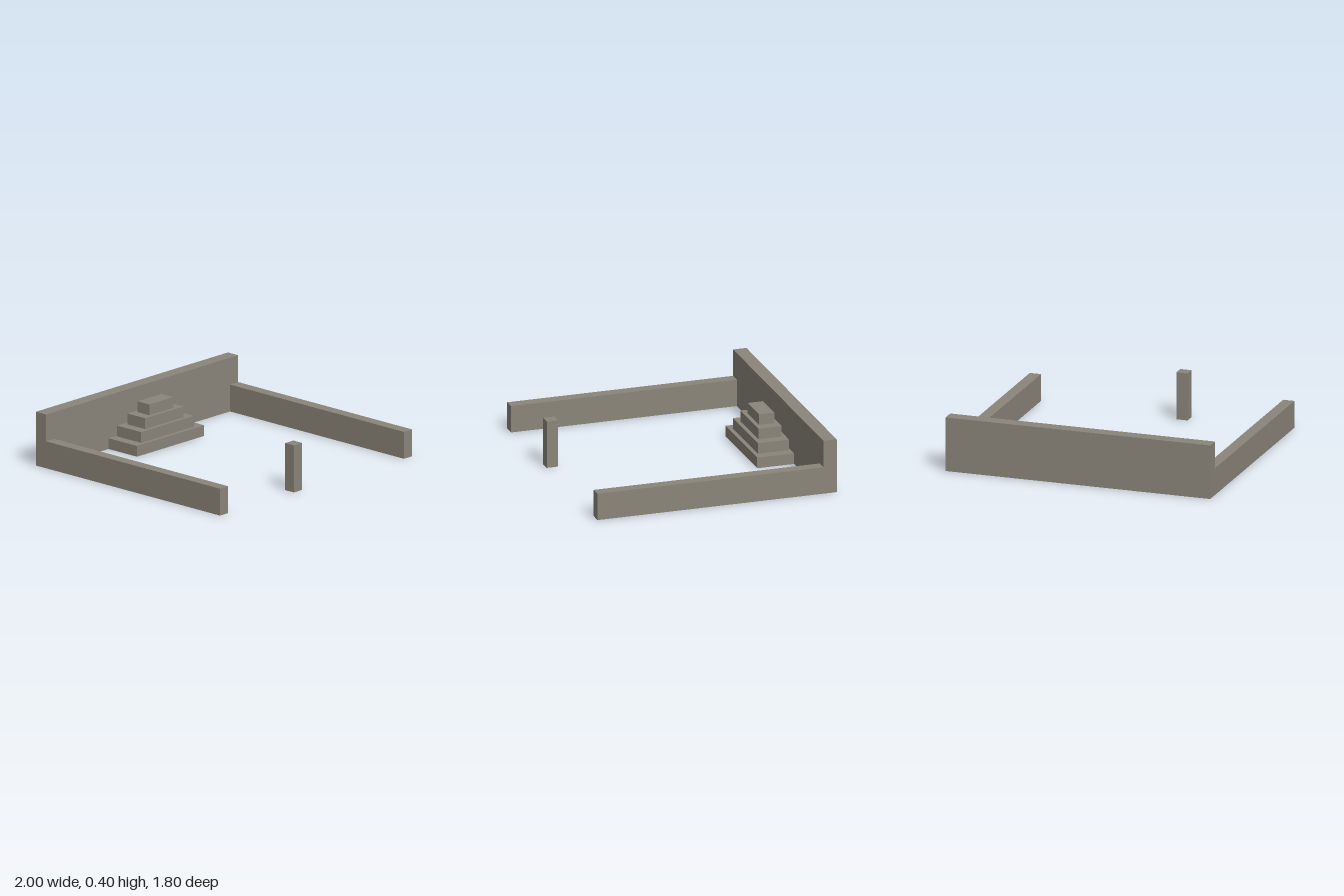
import * as THREE from 'three';

export function createModel() {
  const group = new THREE.Group();
  group.name = 'courtyard';
  const stone = new THREE.MeshStandardMaterial({ color: 0x8b857a });
  stone.name = 'stone';

  // Box given by its width, height and depth, centre x and z, and the height of its underside
  function block(name, w, h, d, x, y, z, parent = group) {
    const mesh = new THREE.Mesh(new THREE.BoxGeometry(w, h, d), stone);
    mesh.name = name;
    mesh.position.set(x, y + h / 2, z);
    parent.add(mesh);
  }

  // Enclosing walls
  block('backWall', 2, 0.4, 0.1, 0, 0, -0.85);
  block('leftWall', 0.085, 0.2, 1.7, 0.9575, 0, 0.05);
  block('rightWall', 0.085, 0.2, 1.7, -0.9575, 0, 0.05);

  // Stepped platform, its lowest tier set slightly into the back wall
  const platform = new THREE.Group();
  platform.name = 'steppedPlatform';
  group.add(platform);
  for (let i = 0; i < 4; i++) {
    block(`tier${i + 1}`, 0.7 - 0.15 * i, 0.08, 0.295 - 0.06 * i, 0, 0.08 * i, -0.67, platform);
  }

  // Free-standing pillar
  block('pillar', 0.086, 0.35, 0.086, -0.182, 0, 0.852);

  return group;
}
